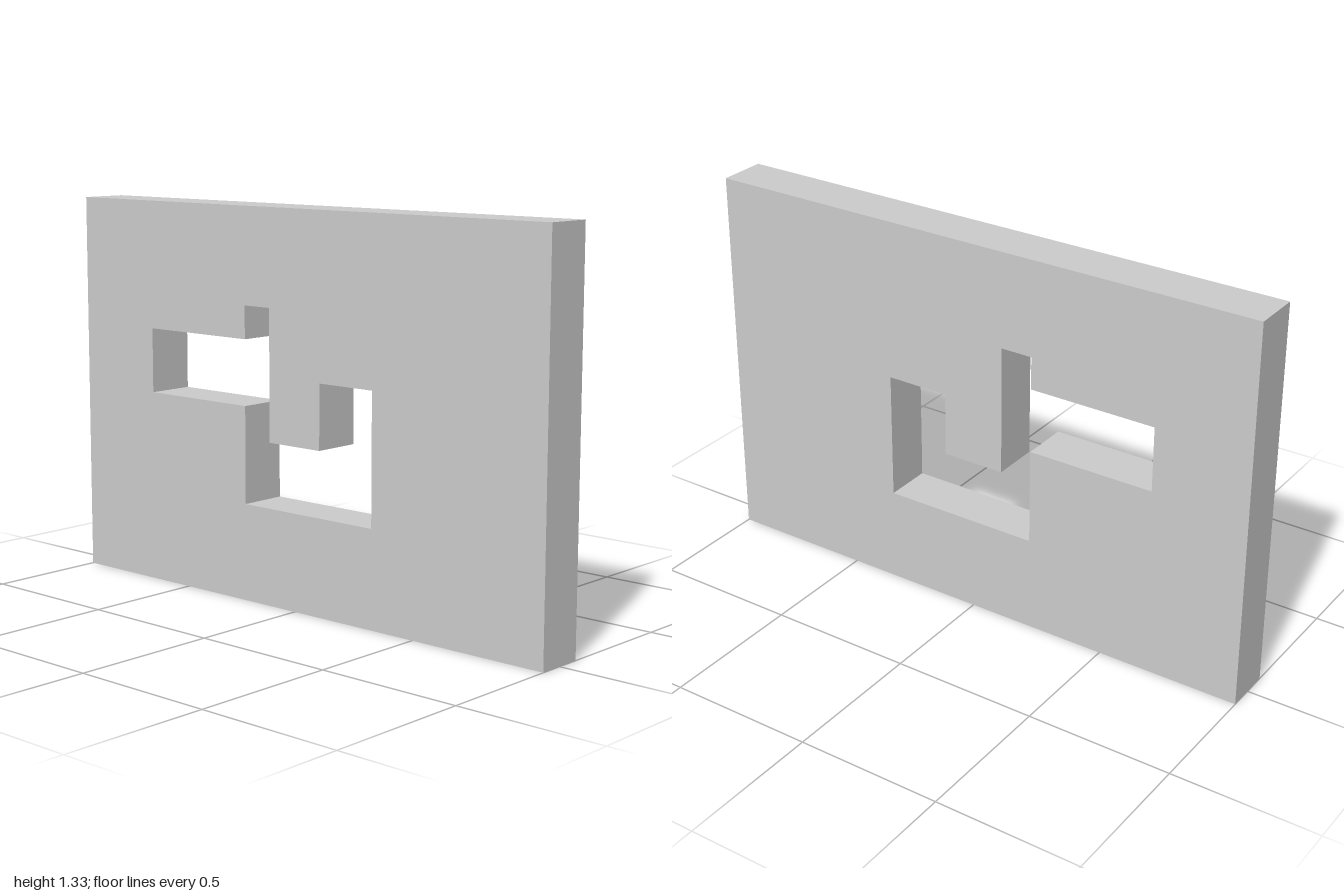
import * as THREE from 'three';

const WIDTH = 2, HEIGHT = 1.325, DEPTH = 0.166;

const toPoints = (pairs) => pairs.map(([x, y]) => new THREE.Vector2(x, y));

export function createModel() {
  const group = new THREE.Group();
  group.name = 'slottedPanel';

  // Rectangular slab outline
  const outline = new THREE.Shape(toPoints([
    [-WIDTH / 2, 0], [WIDTH / 2, 0], [WIDTH / 2, HEIGHT], [-WIDTH / 2, HEIGHT],
  ]));

  // Stepped cut-out: side slot, narrow upright slot and hooked channel
  outline.holes.push(new THREE.Path(toPoints([
    [-0.222, 0.331], [-0.222, 0.663], [-0.667, 0.663], [-0.667, 0.886],
    [-0.222, 0.886], [-0.222, 0.998], [-0.111, 0.998], [-0.111, 0.553],
    [0.109, 0.553], [0.109, 0.772], [0.33, 0.772], [0.33, 0.331],
  ])));

  const geometry = new THREE.ExtrudeGeometry(outline, { depth: DEPTH, bevelEnabled: false });
  geometry.translate(0, 0, -DEPTH / 2);

  const panel = new THREE.Mesh(geometry, new THREE.MeshStandardMaterial({ color: 0xcccccc, flatShading: true }));
  panel.name = 'panel';
  group.add(panel);
  return group;
}
